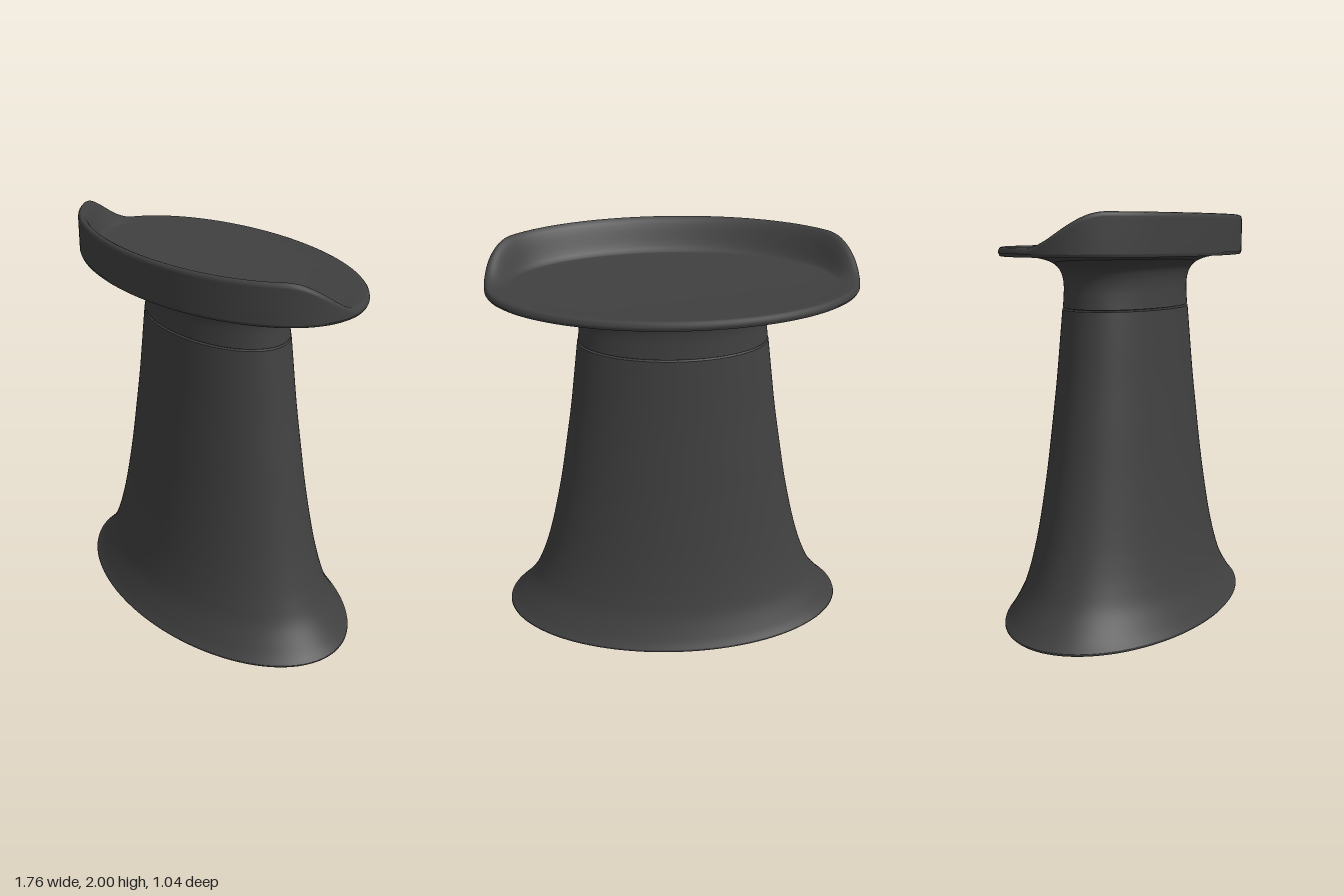
import * as THREE from 'three';

const A = 0.88, B = 0.52;            // half width and half depth of the oval
const SEG = 160;
const material = new THREE.MeshStandardMaterial({ color: 0x404040, side: THREE.DoubleSide });

// Oval lathe: profile of [half width, height], flattened along z
function ovalLathe(name, profile, smooth = 0) {
  let pts = profile.map(([x, y]) => new THREE.Vector2(x, y));
  if (smooth) pts = new THREE.SplineCurve(pts).getPoints(smooth);
  const geo = new THREE.LatheGeometry(pts, SEG);
  geo.scale(1, 1, B / A);
  const mesh = new THREE.Mesh(geo, material);
  mesh.name = name;
  return mesh;
}

// Rim height: low at the back, sweeping up to a raised lip at the front
function rimHeight(z) {
  return 1.848 + 0.152 * THREE.MathUtils.smoothstep(z, -0.1, 0.25);
}

// Dished seat: outer wall, rounded lip, inner fillet and floor, as rings
function seatGeometry() {
  const floor = 1.842, inset = 0.12;
  const rings = [
    { d: 0, y: () => 1.82 },
    { d: 0, y: () => 1.825 },
    { d: 0, y: h => h - 0.022 },
    { d: 0.003, y: h => h - 0.01 },
    { d: 0.009, y: h => h - 0.003 },
    { d: 0.018, y: h => h },
  ];
  for (let i = 1; i <= 10; i++) {
    const t = i / 10, drop = (1 - t) ** 2 * (1 + 2 * t);
    rings.push({ d: 0.018 + (inset - 0.018) * t, y: h => floor + (h - floor) * drop });
  }
  for (let i = 1; i <= 8; i++) {
    const s = 1 - i / 8;
    rings.push({ d: inset, s, y: () => floor - 0.006 * (1 - s * s) });
  }
  const pos = [], index = [];
  rings.forEach(({ d, s = 1, y }, r) => {
    for (let j = 0; j < SEG; j++) {
      const a = j / SEG * Math.PI * 2, c = Math.cos(a), n = Math.sin(a);
      const len = Math.hypot(B * c, A * n);
      pos.push(s * (A * c - d * B * c / len), y(rimHeight(B * n)), s * (B * n - d * A * n / len));
      if (r === 0) continue;
      const k = (j + 1) % SEG, lo = (r - 1) * SEG, hi = r * SEG;
      index.push(lo + j, hi + j, lo + k, lo + k, hi + j, hi + k);
    }
  });
  const geo = new THREE.BufferGeometry();
  geo.setAttribute('position', new THREE.Float32BufferAttribute(pos, 3));
  geo.setIndex(index);
  geo.computeVertexNormals();
  return geo;
}

export function createModel() {
  const group = new THREE.Group();
  group.name = 'stool';

  // Foot plate
  group.add(ovalLathe('footBottom', [[0, 0], [0.695, 0]]));
  group.add(ovalLathe('footEdge', [[0.695, 0], [0.7, 0.006], [0.7, 0.04]]));

  // Flared pedestal
  group.add(ovalLathe('pedestalUnderside', [[0.66, 0.035], [0.872, 0.045]]));
  group.add(ovalLathe('pedestalRim', [[0.872, 0.045], [0.88, 0.052], [0.878, 0.058]]));
  group.add(ovalLathe('pedestal', [
    [0.878, 0.058], [0.83, 0.103], [0.752, 0.2], [0.703, 0.3], [0.667, 0.4], [0.638, 0.5],
    [0.607, 0.63], [0.572, 0.8], [0.538, 1], [0.506, 1.2], [0.48, 1.4], [0.461, 1.55],
  ], 60));

  // Seam between pedestal and neck
  group.add(ovalLathe('seam', [[0.461, 1.55], [0.447, 1.551], [0.447, 1.558], [0.457, 1.559]]));

  // Neck flaring out into the underside of the seat
  group.add(ovalLathe('neck', [
    [0.457, 1.559], [0.452, 1.61], [0.45, 1.66], [0.459, 1.705], [0.485, 1.745],
    [0.54, 1.775], [0.62, 1.793], [0.72, 1.802], [0.868, 1.806],
  ], 50));

  // Seat with raised front lip
  group.add(ovalLathe('seatLowerEdge', [[0.868, 1.806], [0.875, 1.81], [0.876, 1.82], [0.88, 1.82]]));
  const seat = new THREE.Mesh(seatGeometry(), material);
  seat.name = 'seat';
  group.add(seat);

  return group;
}
